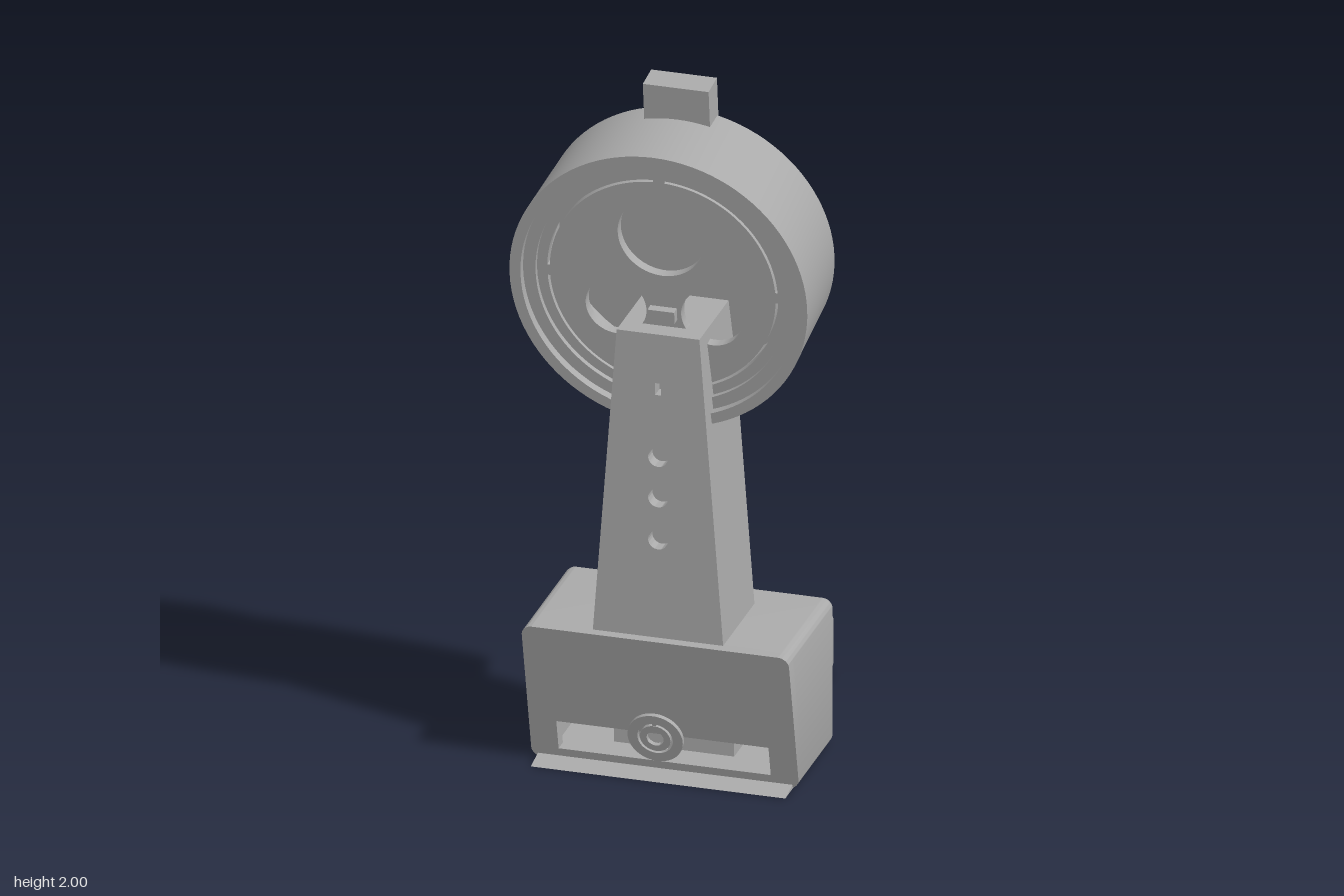
import * as THREE from 'three';
import { toCreasedNormals } from 'three/addons/utils/BufferGeometryUtils.js';

const grey = new THREE.MeshStandardMaterial({ color: 0xaaaaaa, side: THREE.DoubleSide });
grey.name = 'plain grey';

function add(parent, name, geometry, x = 0, y = 0, z = 0) {
  const mesh = new THREE.Mesh(toCreasedNormals(geometry, 0.5), grey);
  mesh.name = name;
  mesh.position.set(x, y, z);
  parent.add(mesh);
  return mesh;
}

const extrude = (shape, depth) =>
  new THREE.ExtrudeGeometry(shape, { depth, bevelEnabled: false, curveSegments: 32 });

function circle(x, y, r, Type = THREE.Path) {
  const p = new Type();
  p.absarc(x, y, r, 0, Math.PI * 2);
  return p;
}

// Rectangle with rounded corners, symmetric about x = 0
function roundRect(w, y0, y1, r, Type = THREE.Shape) {
  const s = new Type();
  s.absarc(w - r, y0 + r, r, -Math.PI / 2, 0);
  s.absarc(w - r, y1 - r, r, 0, Math.PI / 2);
  s.absarc(-w + r, y1 - r, r, Math.PI / 2, Math.PI);
  s.absarc(-w + r, y0 + r, r, Math.PI, Math.PI * 1.5);
  s.closePath();
  return s;
}

function rect(w, y0, y1, Type = THREE.Path) {
  const s = new Type();
  s.moveTo(-w, y0).lineTo(w, y0).lineTo(w, y1).lineTo(-w, y1).closePath();
  return s;
}

// Joins matching rings of points into a skin
function loft(rings) {
  const pos = [];
  for (let k = 0; k < rings.length - 1; k++) {
    const A = rings[k], B = rings[k + 1], n = A.length;
    for (let i = 0; i < n; i++) {
      const j = (i + 1) % n;
      for (const p of [A[i], A[j], B[j], A[i], B[j], B[i]]) pos.push(...p);
    }
  }
  const g = new THREE.BufferGeometry();
  g.setAttribute('position', new THREE.Float32BufferAttribute(pos, 3));
  return g;
}

// Block with softened back edges and a rectangular tunnel; front(y) gives its front z
function tunnelBlock(name, w, y1, zBack, front, hole) {
  const group = new THREE.Group();
  group.name = name;
  const R = 0.03, E = 0.025, steps = 5;
  const ring = (d, z) => roundRect(w - d, d, y1 - d, R - d).getPoints(6)
    .map((p) => [p.x, p.y, z === null ? front(p.y) : z]);
  const rings = [];
  for (let i = 0; i <= steps; i++) {
    const a = (i / steps) * Math.PI / 2;
    rings.push(ring(E * (1 - Math.sin(a)), zBack + E * (1 - Math.cos(a))));
  }
  rings.push(ring(0, null));
  add(group, name + 'Skin', loft(rings));

  const corners = rect(...hole).getPoints().slice(0, 4).reverse();
  add(group, name + 'Tunnel', loft([
    corners.map((p) => [p.x, p.y, zBack]),
    corners.map((p) => [p.x, p.y, front(p.y)]),
  ]));

  const backShape = roundRect(w - E, E, y1 - E, R - E);
  backShape.holes.push(rect(...hole));
  add(group, name + 'Back', new THREE.ShapeGeometry(backShape, 6).rotateY(Math.PI), 0, 0, zBack);

  const frontShape = roundRect(w, 0, y1, R);
  frontShape.holes.push(rect(...hole));
  const cap = new THREE.ShapeGeometry(frontShape, 6);
  const p = cap.attributes.position;
  for (let i = 0; i < p.count; i++) p.setZ(i, front(p.getY(i)));
  add(group, name + 'Front', cap);
  return group;
}

function makeBase() {
  const base = new THREE.Group();
  base.name = 'base';
  const slope = (y) => 0.33 + 0.235 * y;
  const wall = 0.04;
  base.add(tunnelBlock('housing', 0.378, 0.43, 0, (y) => slope(y) - wall, [0.315, 0.035, 0.385]));

  // Sloping front wall with a wide slot
  const face = roundRect(0.378, 0, 0.43, 0.03);
  face.holes.push(rect(0.3, 0.035, 0.125));
  const g = extrude(face, wall);
  const p = g.attributes.position;
  for (let i = 0; i < p.count; i++) p.setZ(i, slope(p.getY(i)) - wall + p.getZ(i));
  add(base, 'frontWall', g);

  // Thin wedge at the foot of the front
  const wedge = new THREE.Shape();
  wedge.moveTo(-0.3, 0).lineTo(-0.4, 0).lineTo(-0.33, 0.012).lineTo(-0.3, 0.012).closePath();
  add(base, 'frontLip', extrude(wedge, 0.72).rotateY(Math.PI / 2), -0.36, 0, 0);

  // Tilted ring emblem-free dial in front of the slot
  const dial = new THREE.Group();
  dial.name = 'dial';
  for (const [outer, inner] of [[0.078, 0.05], [0.043, 0.024]]) {
    const s = circle(0, 0, outer, THREE.Shape);
    s.holes.push(circle(0, 0, inner));
    add(dial, 'dialRing', extrude(s, 0.012));
  }
  add(dial, 'dialBridge', new THREE.BoxGeometry(0.012, 0.03, 0.008), 0, 0.046, 0.006);
  dial.position.set(0, 0.145, 0.415);
  dial.rotation.x = 0.27;
  base.add(dial);

  // Round knob in the back opening
  const knob = (r, len, z) =>
    add(base, 'knob', new THREE.CylinderGeometry(r, r, len, 32).rotateX(Math.PI / 2), 0, 0.33, z);
  knob(0.032, 0.05, -0.015);
  knob(0.02, 0.37, 0.18);
  return base;
}

function makeTray() {
  const tray = new THREE.Group();
  tray.name = 'tray';
  // Floor plate with fillets where it meets the base (shape y is -z)
  const w = 0.243, f = 0.04, c = 0.03;
  const s = new THREE.Shape();
  s.moveTo(-w - f, -0.1).lineTo(w + f, -0.1).lineTo(w + f, 0);
  s.quadraticCurveTo(w, 0, w, f).lineTo(w, 0.45 - c);
  s.lineTo(w - c, 0.42).lineTo(-w + c, 0.42).lineTo(-w, 0.45 - c);
  s.lineTo(-w, f).quadraticCurveTo(-w, 0, -w - f, 0).closePath();
  add(tray, 'trayFloor', extrude(s, 0.034).rotateX(-Math.PI / 2));
  for (const side of [-1, 1])
    add(tray, 'trayRail', new THREE.BoxGeometry(0.023, 0.05, 0.57), side * 0.1585, 0.055, -0.04);
  add(tray, 'trayCrossRail', new THREE.BoxGeometry(0.34, 0.05, 0.023), 0, 0.055, 0.24);
  tray.add(tunnelBlock('endStop', w, 0.183, -0.45, () => -0.32, [0.06, 0.07, 0.135]));
  return tray;
}

function makeNeck() {
  const neck = new THREE.Group();
  neck.name = 'neck';
  const outline = () => {
    const s = new THREE.Shape();
    s.moveTo(-0.185, 0.42).lineTo(0.185, 0.42).lineTo(0.117, 1.33).lineTo(-0.117, 1.33).closePath();
    return s;
  };
  add(neck, 'neckBody', extrude(outline(), 0.25), 0, 0, 0.11);
  const front = outline();
  for (const y of [0.965, 0.845, 0.72]) front.holes.push(circle(0, y, 0.028));
  front.holes.push(rect(0.008, 1.15, 1.185));
  add(neck, 'neckFront', extrude(front, 0.04), 0, 0, 0.36);
  return neck;
}

function makeHead() {
  const head = new THREE.Group();
  head.name = 'head';
  // Hollow drum with a stepped rim
  const profile = [[0, 0], [0.41, 0], [0.421, 0.29], [0.39, 0.29], [0.39, 0.265], [0.355, 0.265],
    [0.355, 0.04], [0, 0.04]].map(([r, z]) => new THREE.Vector2(r, z));
  add(head, 'drum', new THREE.LatheGeometry(profile, 96).rotateX(Math.PI / 2), 0, 0.004, 0);

  // Face plate with three round openings and thin curved slits
  const plate = circle(0, 0, 0.356, THREE.Shape);
  plate.holes.push(circle(0, 0.148, 0.122));
  for (const side of [-1, 1]) plate.holes.push(circle(side * 0.135, -0.088, 0.086));
  for (let i = 0; i < 4; i++) {
    const a = i * Math.PI / 2 + 0.05, b = a + Math.PI / 2 - 0.1;
    const slit = new THREE.Path();
    slit.absarc(0, 0, 0.326, a, b, false);
    slit.absarc(0, 0, 0.319, b, a, true);
    slit.closePath();
    plate.holes.push(slit);
  }
  add(head, 'facePlate', extrude(plate, 0.03), 0, 0.004, 0.22);
  add(head, 'faceClip', new THREE.BoxGeometry(0.075, 0.035, 0.04), 0, -0.085, 0.255);

  // Tab on top with a lip down the back
  add(head, 'topTab', new THREE.BoxGeometry(0.186, 0.136, 0.078), 0, 0.448, 0.029);
  add(head, 'tabLip', new THREE.BoxGeometry(0.186, 0.11, 0.02), 0, 0.368, 0);

  head.position.set(0, 1.487, 0.108);
  head.rotation.x = 0.118;
  return head;
}

export function createModel() {
  const model = new THREE.Group();
  model.name = 'stand';
  model.add(makeBase(), makeTray(), makeNeck(), makeHead());
  return model;
}
